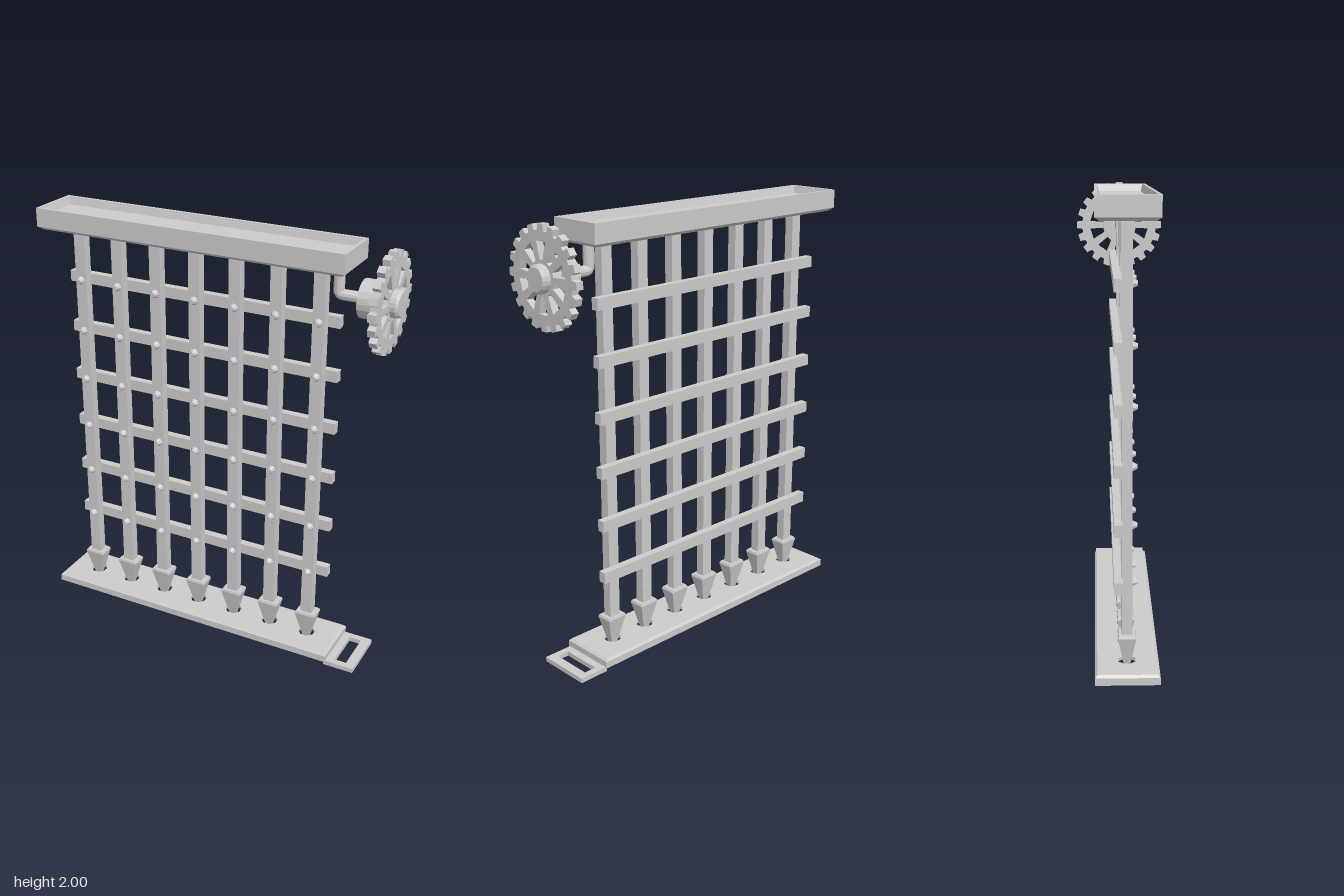
import * as THREE from 'three';

const flat = new THREE.MeshStandardMaterial({ color: 0xcccccc, flatShading: true, side: THREE.DoubleSide });

// Lofts rectangular rings [halfX, halfZ, y]; caps are optional.
function rectLoft(rings, capStart = true, capEnd = true) {
  const pos = [], idx = [];
  for (const [a, b, y] of rings) pos.push(-a, y, b, a, y, b, a, y, -b, -a, y, -b);
  for (let r = 0; r < rings.length - 1; r++) {
    for (let i = 0; i < 4; i++) {
      const p = r * 4 + i, q = r * 4 + (i + 1) % 4;
      idx.push(p, q, q + 4, p, q + 4, p + 4);
    }
  }
  const e = (rings.length - 1) * 4;
  if (capStart) idx.push(0, 2, 1, 0, 3, 2);
  if (capEnd) idx.push(e, e + 1, e + 2, e, e + 2, e + 3);
  const g = new THREE.BufferGeometry();
  g.setAttribute('position', new THREE.Float32BufferAttribute(pos, 3));
  g.setIndex(idx);
  const out = g.toNonIndexed();
  out.computeVertexNormals();
  return out;
}

function rectPath(PathType, a, b) {
  return new PathType([[-a, -b], [a, -b], [a, b], [-a, b]].map(p => new THREE.Vector2(...p)));
}

// Horizontal plate with holes, its lower face on y.
function plate(shape, y, height) {
  return new THREE.ExtrudeGeometry(shape, { depth: height, bevelEnabled: false })
    .rotateX(-Math.PI / 2).translate(0, y, 0);
}

// Outline of a gear with trapezoid teeth and windows between its spokes.
function gearShape(teeth, root, tip, windows) {
  const polar = (r, a) => new THREE.Vector2(r * Math.sin(a), r * Math.cos(a));
  const pts = [];
  const step = Math.PI * 2 / teeth;
  for (let i = 0; i < teeth; i++) {
    const a = i * step;
    pts.push(polar(root, a - step * 0.33), polar(tip, a - step * 0.24),
      polar(tip, a + step * 0.24), polar(root, a + step * 0.33));
  }
  const shape = new THREE.Shape(pts);
  for (let i = 0; i < windows; i++) {
    const a = i * Math.PI * 2 / windows;
    shape.holes.push(new THREE.Path([
      polar(0.075, a - 0.13), polar(0.15, a - 0.19), polar(0.15, a + 0.19), polar(0.075, a + 0.13),
    ]));
  }
  return shape;
}

export function createModel() {
  const model = new THREE.Group();
  const add = (name, geometry, x = 0, y = 0, z = 0, parent = model) => {
    const mesh = new THREE.Mesh(geometry, flat);
    mesh.name = name;
    mesh.position.set(x, y, z);
    parent.add(mesh);
    return mesh;
  };
  const group = name => {
    const g = new THREE.Group();
    g.name = name;
    model.add(g);
    return g;
  };
  const midX = -0.1;
  const barXs = Array.from({ length: 7 }, (_, i) => -0.693 + i * 0.198);
  const railYs = Array.from({ length: 6 }, (_, i) => 0.41 + i * 0.2485);

  // Top beam with a bevelled underside and a sunken top
  add('topBeam', rectLoft([
    [0.72, 0.108, 1.9], [0.742, 0.128, 1.915], [0.742, 0.128, 2],
    [0.727, 0.114, 2], [0.715, 0.104, 1.965],
  ]), midX);

  // Sill: bevelled rim, hollow below, with a pierced top plate
  const sill = group('sill');
  add('sillRim', rectLoft([
    [0.705, 0.095, 0.046], [0.715, 0.105, 0.018], [0.746, 0.135, 0.018],
    [0.746, 0.135, 0.05], [0.735, 0.125, 0.06],
  ], false, false), midX, 0, 0, sill);
  const top = rectPath(THREE.Shape, 0.735, 0.125);
  for (const x of barXs) {
    const hole = [];
    for (let i = 0; i < 8; i++) {
      const a = (i + 0.5) * Math.PI / 4;
      hole.push(new THREE.Vector2(x - midX + 0.04 * Math.cos(a), 0.04 * Math.sin(a)));
    }
    top.holes.push(new THREE.Path(hole));
  }
  add('sillPlate', plate(top, 0.045, 0.015), midX, 0, 0, sill);

  // Slotted plate beside the sill
  const slotted = rectPath(THREE.Shape, 0.073, 0.128);
  slotted.holes.push(rectPath(THREE.Path, 0.029, 0.097));
  add('slottedPlate', plate(slotted, 0, 0.022), 0.711);

  // Upright bars with spear points
  const barGeo = new THREE.BoxGeometry(0.055, 1.75, 0.044);
  const spikeGeo = rectLoft([
    [0.008, 0.006, 0.006], [0.05, 0.038, 0.174], [0.046, 0.035, 0.185],
  ]);
  const uprights = group('uprights');
  for (const x of barXs) {
    add('bar', barGeo, x, 1.045, 0, uprights);
    add('spearPoint', spikeGeo, x, 0, 0, uprights);
  }

  // Cross rails behind the bars, riveted from the front
  const railGeo = new THREE.BoxGeometry(1.355, 0.052, 0.036);
  const rivetGeo = new THREE.CylinderGeometry(0.01, 0.021, 0.022, 8).rotateX(Math.PI / 2);
  const rails = group('crossRails');
  for (const y of railYs) {
    add('rail', railGeo, midX, y, -0.037, rails);
    for (const x of barXs) add('rivet', rivetGeo, x, y, 0.032, rails);
  }

  // Winding gear on a bent shaft
  const winch = group('winch');
  const axisY = 1.787;
  const v = (x, y) => new THREE.Vector3(x, y, 0);
  const path = new THREE.CurvePath();
  path.add(new THREE.LineCurve3(v(0.572, 1.91), v(0.572, axisY + 0.02)));
  path.add(new THREE.QuadraticBezierCurve3(v(0.572, axisY + 0.02), v(0.572, axisY), v(0.592, axisY)));
  path.add(new THREE.LineCurve3(v(0.592, axisY), v(0.7, axisY)));
  add('bentShaft', new THREE.TubeGeometry(path, 24, 0.024, 12), 0, 0, 0, winch);

  const turned = profile => new THREE.LatheGeometry(
    profile.map(p => new THREE.Vector2(...p)), 20).rotateZ(-Math.PI / 2);
  add('collar', turned([[0, 0.68], [0.083, 0.68], [0.083, 0.755], [0, 0.755]]), 0, axisY, 0, winch);
  add('hub', turned([[0.06, 0.75], [0.06, 0.835], [0.05, 0.846], [0, 0.846]]), 0, axisY, 0, winch);
  const gearGeo = new THREE.ExtrudeGeometry(gearShape(20, 0.19, 0.217, 10), { depth: 0.034, bevelEnabled: false })
    .rotateY(Math.PI / 2);
  add('gear', gearGeo, 0.777, axisY, 0, winch);

  return model;
}
